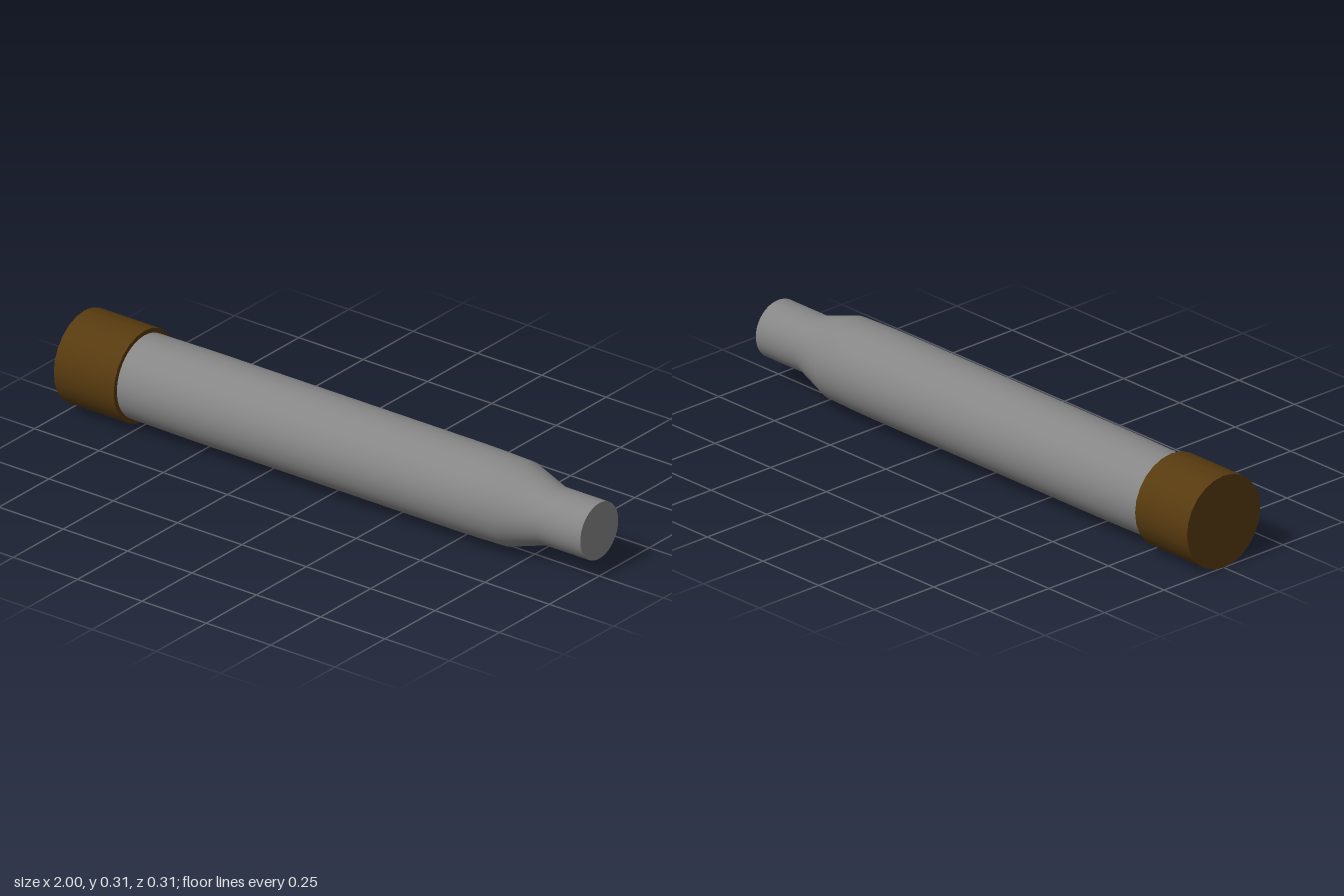
import * as THREE from 'three';

const AXIS_Y = 0.154;

export function createModel() {
  const group = new THREE.Group();
  group.name = 'cartridge';
  const steel = new THREE.MeshStandardMaterial({ name: 'grey metal', color: 0x868686 });
  const brown = new THREE.MeshStandardMaterial({ name: 'dark brown', color: 0x573a0f });

  // every part is turned about the x axis
  const add = (name, geometry, material, x) => {
    const mesh = new THREE.Mesh(geometry, material);
    mesh.name = name;
    mesh.rotation.z = -Math.PI / 2;
    mesh.position.set(x, AXIS_Y, 0);
    group.add(mesh);
  };

  // long tube with a sloped shoulder and narrow neck: [x, radius]
  const profile = [
    [-0.78, 0.138], [-0.62, 0.14], [-0.5, 0.141], [0.5, 0.141], [0.58, 0.14],
    [0.69, 0.137], [0.825, 0.095], [1, 0.095],
  ].map(([x, r]) => new THREE.Vector2(r, x));
  add('body', new THREE.LatheGeometry(profile, 48), steel, 0);

  // flat closed end of the neck
  const disc = new THREE.CircleGeometry(0.095, 48);
  disc.rotateX(-Math.PI / 2);
  add('neckEnd', disc, steel, 1);

  // wider closed cap at the other end
  add('endCap', new THREE.CylinderGeometry(0.154, 0.154, 0.233, 24), brown, -0.8835);

  return group;
}
